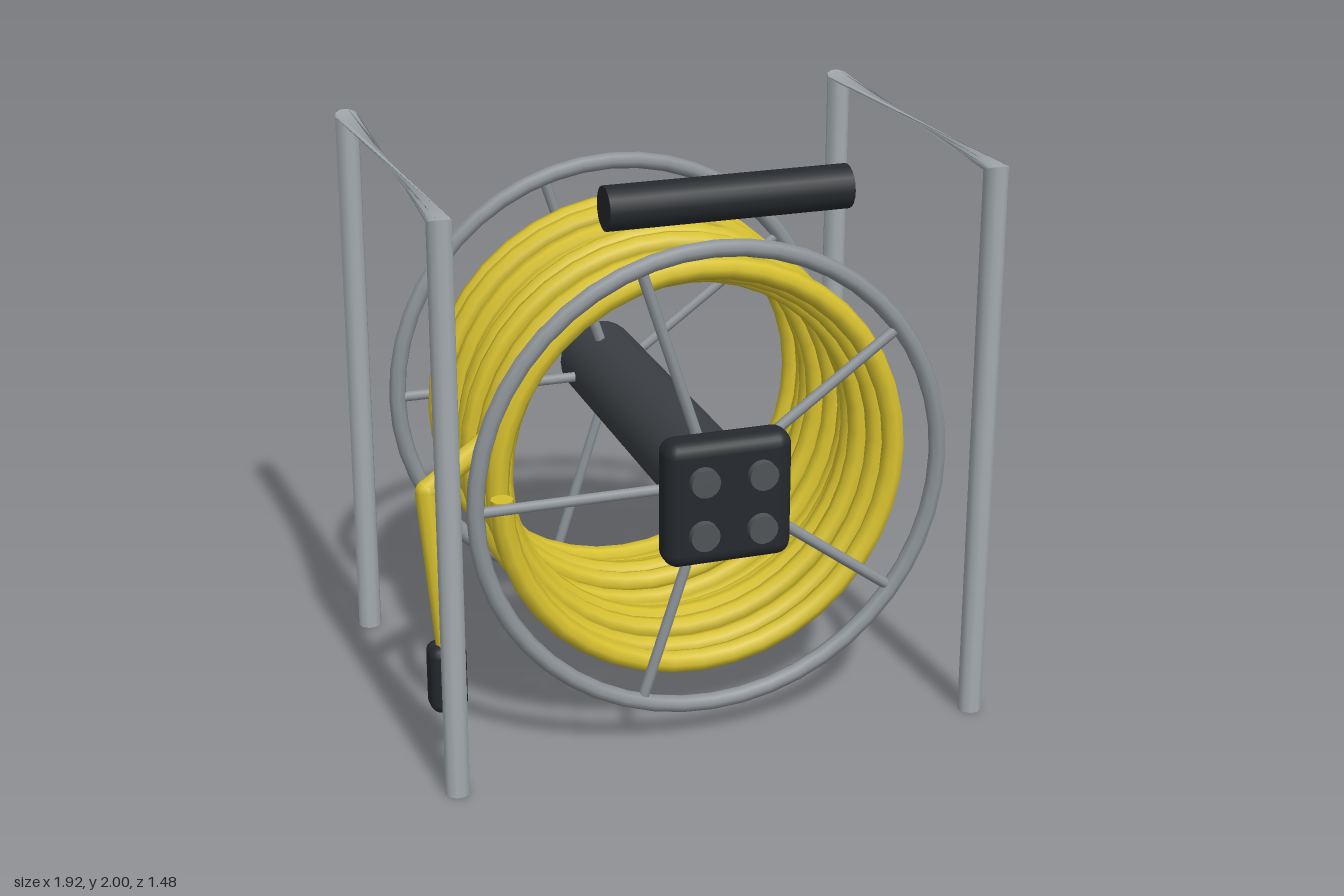
import * as THREE from 'three';
import { mergeGeometries } from 'three/addons/utils/BufferGeometryUtils.js';
import { RoundedBoxGeometry } from 'three/addons/geometries/RoundedBoxGeometry.js';

const mat = (color, side = THREE.FrontSide) => new THREE.MeshStandardMaterial({ color, side });
const frameSteel = mat(0xa4abaf, THREE.DoubleSide);
const wheelSteel = mat(0x8c9297);
const yellow = mat(0xd6c02e, THREE.DoubleSide);
const dark = mat(0x25292d);
const axleGrey = mat(0x3b3f43);
const buttonGrey = mat(0x505457);

const HUB_Y = 0.928;
const MID_Z = -0.025;
const HOSE_R = 0.039;
const V = (x, y, z) => new THREE.Vector3(x, y, z);

// Hose winding: radius swells gently every five turns
class CoilCurve extends THREE.Curve {
  getPoint(t, target = new THREE.Vector3()) {
    const a = Math.PI + t * 12 * Math.PI * 2;
    const z = 0.438 - 0.945 * t;
    const r = 0.665 + 0.03 * Math.cos((z - 0.015) * Math.PI * 2 / 0.393);
    return target.set(r * Math.cos(a), HUB_Y + r * Math.sin(a), z);
  }
  getPointAt(t, target) { return this.getPoint(t, target); }
  getTangentAt(t, target) { return this.getTangent(t, target); }
}

// Surface between two rings of points
function loft(ringA, ringB) {
  const n = ringA.length, index = [];
  for (let i = 0; i < n - 1; i++) index.push(i, n + i, i + 1, i + 1, n + i, n + i + 1);
  const g = new THREE.BufferGeometry().setFromPoints([...ringA, ...ringB]);
  g.setIndex(index);
  g.computeVertexNormals();
  return g;
}

// Ring around a post; tilt lifts one edge, flip mirrors the order in x
function ring(y, z, tilt, flip) {
  const pts = [];
  for (let i = 0; i <= 10; i++) {
    const a = i / 10 * Math.PI * 2;
    pts.push(V(flip * 0.041 * Math.cos(a), y + tilt * Math.sin(a), z + 0.041 * Math.sin(a)));
  }
  return pts;
}

export function createModel() {
  const model = new THREE.Group();
  const add = (name, geometry, material, x = 0, y = 0, z = 0, parent = model) => {
    const m = new THREE.Mesh(geometry, material);
    m.name = name;
    m.position.set(x, y, z);
    parent.add(m);
    return m;
  };

  // Side frames: two posts joined by a twisted strap that pinches midway
  const zf = MID_Z + 0.657, zb = MID_Z - 0.662;
  const frontLow = ring(0, zf, 0, 1), frontTop = ring(1.94, zf, 0.015, 1);
  const backTop = ring(1.94, zb, -0.015, -1), backLow = ring(0, zb, 0, -1);
  const frameGeo = mergeGeometries([
    loft(frontLow, frontTop), loft(frontTop, backTop), loft(backTop, backLow)
  ]);
  const capGeo = new THREE.CircleGeometry(0.041, 10).rotateX(Math.PI / 2);
  for (const s of [-1, 1]) {
    const frame = new THREE.Group();
    frame.name = s > 0 ? 'leftFrame' : 'rightFrame';
    frame.position.x = s * 0.915;
    model.add(frame);
    add('postsAndStrap', frameGeo, frameSteel, 0, 0, 0, frame);
    for (const z of [zf, zb]) add('postFoot', capGeo, frameSteel, 0, 0, z, frame);
  }

  // Spoked wheels
  const rim = new THREE.TorusGeometry(0.802, 0.03, 8, 48);
  const spoke = new THREE.CylinderGeometry(0.019, 0.019, 0.7, 8).rotateZ(Math.PI / 2).translate(0.45, 0, 0);
  for (const s of [1, -1]) {
    const wheel = new THREE.Group();
    wheel.name = s > 0 ? 'frontWheel' : 'backWheel';
    wheel.position.set(0, HUB_Y, MID_Z + s * 0.548);
    model.add(wheel);
    add('rim', rim, wheelSteel, 0, 0, 0, wheel);
    for (let i = 0; i < 5; i++) {
      add('spoke', spoke, wheelSteel, 0, 0, 0, wheel).rotation.z = Math.PI + i * Math.PI * 2 / 5;
    }
  }

  // Axle
  add('axle', new THREE.CylinderGeometry(0.145, 0.145, 1.4, 24).rotateX(Math.PI / 2), axleGrey, 0, HUB_Y, -0.043);

  // Front hub box with four round buttons
  add('hubBox', new RoundedBoxGeometry(0.435, 0.435, 0.13, 3, 0.05), dark, 0, HUB_Y, 0.637);
  const button = new THREE.CylinderGeometry(0.049, 0.049, 0.028, 16).rotateX(Math.PI / 2);
  for (const x of [-1, 1]) for (const y of [-1, 1]) {
    add('button', button, buttonGrey, x * 0.099, HUB_Y + y * 0.093, 0.725);
  }

  // Carrying handle
  add('handle', new THREE.CylinderGeometry(0.071, 0.071, 0.8, 20).rotateZ(Math.PI / 2), dark, 0, 1.929, 0.632);

  // Wound hose with closed ends
  const coil = new CoilCurve();
  add('hoseCoil', new THREE.TubeGeometry(coil, 12 * 40, HOSE_R, 8), yellow);
  for (const t of [0, 1]) {
    const end = add('hoseEnd', new THREE.CircleGeometry(HOSE_R, 8), yellow);
    end.position.copy(coil.getPoint(t));
    end.rotation.x = Math.PI / 2;
  }

  // Loose end of the hose, hanging down to the connector
  const path = [V(-0.62, 1.155, 0.328), V(-0.925, 0.965, 0.38), V(-0.885, 0.42, 0.438)];
  for (let i = 0; i < 2; i++) {
    add('looseHose', new THREE.TubeGeometry(new THREE.LineCurve3(path[i], path[i + 1]), 1, HOSE_R, 8), yellow);
  }
  add('hoseElbow', new THREE.SphereGeometry(HOSE_R, 8, 6), yellow, path[1].x, path[1].y, path[1].z);
  add('connector', new RoundedBoxGeometry(0.125, 0.24, 0.11, 2, 0.035), dark, -0.89, 0.325, 0.43);

  return model;
}
